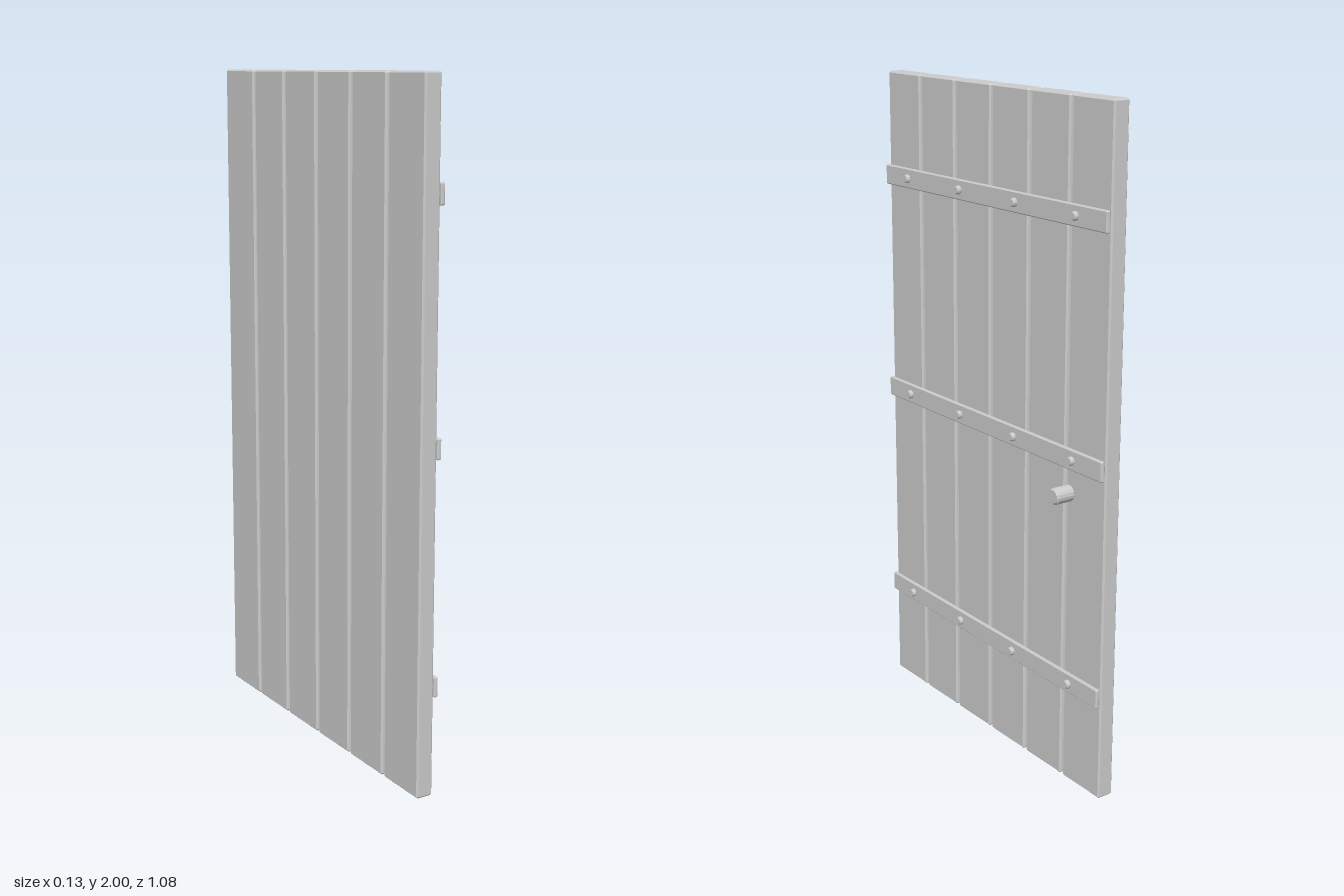
import * as THREE from 'three';
import { ConvexGeometry } from 'three/addons/geometries/ConvexGeometry.js';

const material = new THREE.MeshStandardMaterial({ color: 0xcccccc, flatShading: true });

// Box with all twelve edges chamfered by c
function chamferBox(w, h, d, c) {
  const points = [];
  for (const sx of [-1, 1]) for (const sy of [-1, 1]) for (const sz of [-1, 1]) {
    const [x, y, z] = [w / 2, h / 2, d / 2];
    points.push(
      new THREE.Vector3(sx * x, sy * (y - c), sz * (z - c)),
      new THREE.Vector3(sx * (x - c), sy * y, sz * (z - c)),
      new THREE.Vector3(sx * (x - c), sy * (y - c), sz * z));
  }
  return new ConvexGeometry(points);
}

// Closed round peg along +x, starting at x = 0, with chamfered rims
function peg(radius, length, c, sides) {
  const profile = [[0, 0], [radius - c, 0], [radius, c], [radius, length - c], [radius - c, length], [0, length]]
    .map(([r, y]) => new THREE.Vector2(r, y));
  return new THREE.LatheGeometry(profile, sides).rotateZ(-Math.PI / 2);
}

export function createModel() {
  const door = new THREE.Group();
  door.name = 'plankDoor';

  const add = (name, geometry, x, y, z) => {
    const mesh = new THREE.Mesh(geometry, material);
    mesh.name = name;
    mesh.position.set(x, y, z);
    door.add(mesh);
  };

  // Six upright planks with narrow gaps
  const plank = chamferBox(0.052, 2, 0.17, 0.005);
  for (let i = 0; i < 6; i++) add('plank', plank, -0.042, 1, (i - 2.5) * 0.1812);

  // Three cross straps, each with four rivets
  const strap = chamferBox(0.013, 0.06, 1.074, 0.003);
  const rivet = peg(0.013, 0.015, 0.004, 12);
  for (const y of [0.322, 1.004, 1.687]) {
    add('strap', strap, -0.0065, y, 0);
    for (let i = 0; i < 4; i++) add('rivet', rivet, -0.003, y, (i - 1.5) * 0.273);
  }

  // Round handle
  add('knob', peg(0.024, 0.062, 0.005, 16), 0.004, 0.912, -0.41);

  return door;
}
